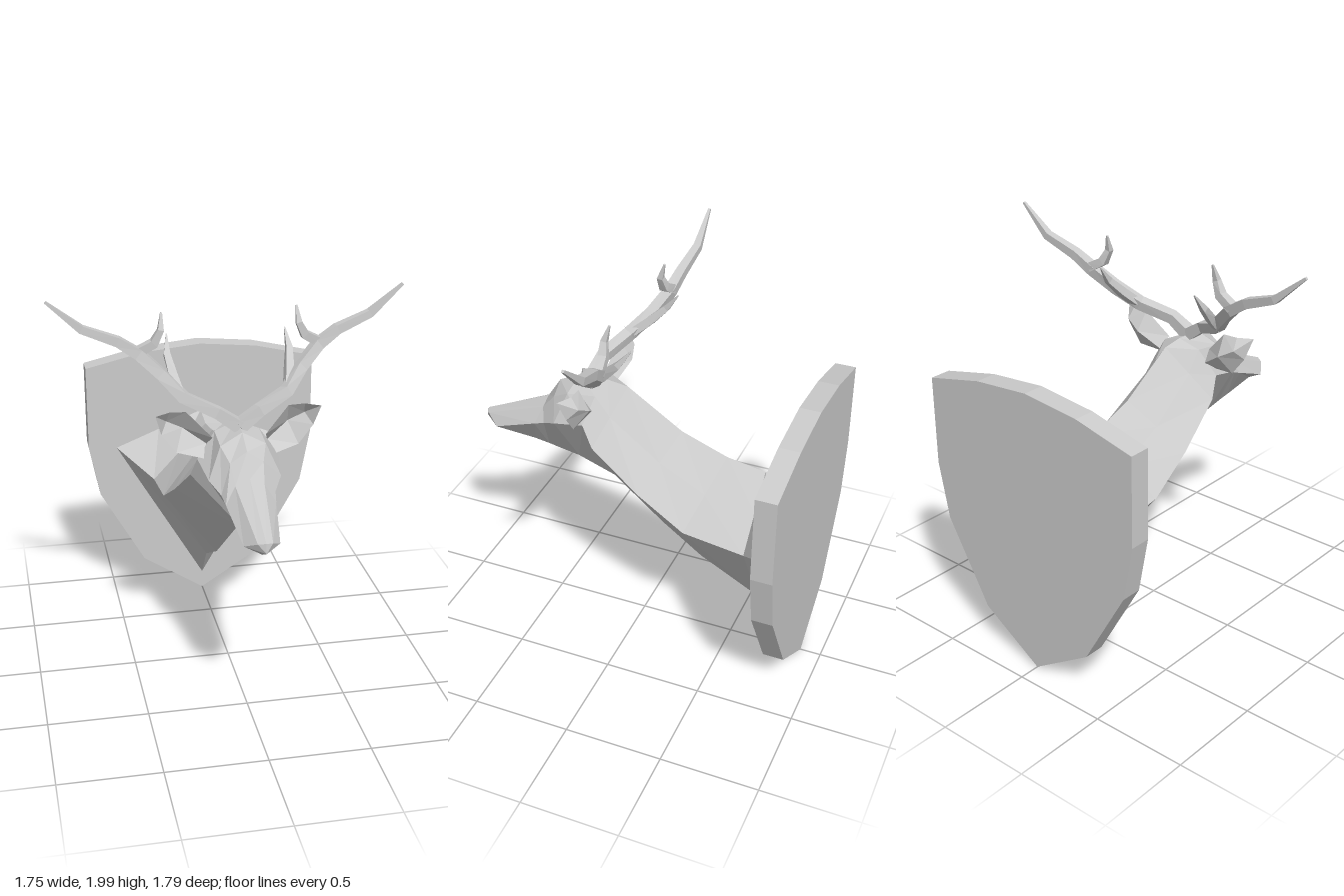
import * as THREE from 'three';

const V = (x, y, z) => new THREE.Vector3(x, y, z);
const grey = (side = THREE.FrontSide) =>
  new THREE.MeshStandardMaterial({ color: 0xcccccc, flatShading: true, side });

function named(name, geometry, side) {
  const mesh = new THREE.Mesh(geometry, grey(side));
  mesh.name = name;
  return mesh;
}

// Skin over rings of points (counterclockwise around the direction of travel)
function loft(rings, { closed = true, start, end } = {}) {
  const pos = [];
  const tri = (...pts) => pts.forEach((p) => pos.push(p.x, p.y, p.z));
  const n = rings[0].length;
  const count = closed ? n : n - 1;
  for (let j = 0; j < count; j++) {
    const k = (j + 1) % n;
    for (let i = 0; i < rings.length - 1; i++) {
      const [r, s] = [rings[i], rings[i + 1]];
      tri(r[j], r[k], s[k]);
      tri(r[j], s[k], s[j]);
    }
    const last = rings[rings.length - 1];
    if (start) tri(rings[0][k], rings[0][j], start);
    if (end) tri(last[j], last[k], end);
  }
  const geometry = new THREE.BufferGeometry();
  geometry.setAttribute('position', new THREE.Float32BufferAttribute(pos, 3));
  geometry.computeVertexNormals();
  return geometry;
}

// Four-sided tapering branch; each point is [x, y, z, radius]
function branch(points) {
  const path = points.map((p) => V(p[0], p[1], p[2]));
  const last = path.length - 1;
  const rings = path.map((p, i) => {
    const t = path[Math.min(i + 1, last)].clone().sub(path[Math.max(i - 1, 0)]).normalize();
    const a = V(0, 0, 1).cross(t).normalize();
    const b = t.clone().cross(a);
    return [0, 1, 2, 3].map((k) => {
      const angle = (k * Math.PI) / 2 + Math.PI / 4;
      return p.clone()
        .addScaledVector(a, Math.cos(angle) * points[i][3])
        .addScaledVector(b, Math.sin(angle) * points[i][3]);
    });
  });
  return loft(rings, { start: path[0], end: path[last] });
}

function makePlaque() {
  const half = [[0.335, 0.215], [0.575, 0.64], [0.63, 0.93], [0.63, 1.385], [0.31, 1.46]];
  const outline = [[0, 0], ...half, [0, 1.49], ...half.map(([x, y]) => [-x, y]).reverse()];
  const shape = new THREE.Shape(outline.map(([x, y]) => new THREE.Vector2(x, y)));
  const geometry = new THREE.ExtrudeGeometry(shape, { depth: 0.107, bevelEnabled: false });
  return named('plaque', geometry.translate(0, 0, -0.892));
}

// Neck and head: each row holds top [y, z], side [x, y, z], bottom [y, z]
// and, on the skull, a shoulder point [x, y, z] between top and side
function makeNeckAndHead() {
  const rows = [
    [[1.105, -0.785], [0.475, 0.915, -0.785], [0.1, -0.785]],
    [[1.08, -0.64], [0.29, 0.77, -0.64], [0.285, -0.64]],
    [[1.115, -0.44], [0.285, 0.81, -0.32], [0.455, -0.32]],
    [[1.205, -0.2], [0.262, 0.955, -0.07], [0.615, -0.1]],
    [[1.395, 0.09], [0.225, 1.14, 0.19], [0.84, 0.17]],
    [[1.41, 0.2], [0.2, 1.245, 0.25], [0.91, 0.37], [0.11, 1.37, 0.22]],
    [[1.405, 0.35], [0.175, 1.2, 0.42], [0.925, 0.46], [0.11, 1.35, 0.37]],
    [[1.35, 0.46], [0.13, 1.155, 0.5], [0.94, 0.54], [0.08, 1.295, 0.46]],
    [[1.24, 0.53], [0.12, 1.13, 0.56], [0.952, 0.62], [0.07, 1.21, 0.53]],
    [[1.077, 0.888], [0.085, 1.03, 0.8], [0.985, 0.81], [0.035, 1.068, 0.87]],
  ];
  const rings = rows.map(([top, side, bottom, shoulder]) => {
    const t = V(0, ...top);
    const s = V(...side);
    const u = shoulder ? V(...shoulder) : t.clone().lerp(s, 0.5);
    const flip = (p) => V(-p.x, p.y, p.z);
    return [V(0, ...bottom), s, u, t, flip(u), flip(s)];
  });
  return named('neckAndHead', loft(rings, { start: V(0, 0.9, -0.785), end: V(0, 1.03, 0.896) }));
}

// Ear: open cup running from the skull to a forward tip
function makeEar() {
  const rings = [
    [V(0.13, 1.36, 0.28), V(0.15, 1.31, 0.22), V(0.17, 1.26, 0.29)],
    [V(0.25, 1.485, 0.24), V(0.26, 1.385, 0.18), V(0.3, 1.285, 0.25)],
    [V(0.33, 1.488, 0.24), V(0.34, 1.43, 0.2), V(0.372, 1.38, 0.25)],
  ];
  return named('ear', loft(rings, { closed: false, end: V(0.402, 1.487, 0.282) }), THREE.DoubleSide);
}

function makeAntler() {
  const antler = new THREE.Group();
  antler.name = 'antler';
  const beam = [
    [0, 1.41, 0.28, 0.045], [0.1, 1.48, 0.265, 0.038], [0.25, 1.54, 0.19, 0.038],
    [0.34, 1.63, 0.105, 0.038], [0.44, 1.72, 0.045, 0.038], [0.54, 1.785, 0.025, 0.033],
    [0.71, 1.85, 0.005, 0.027], [0.872, 1.99, 0.005, 0.009],
  ];
  const innerTine = [
    [0.265, 1.55, 0.17, 0.03], [0.285, 1.62, 0.09, 0.029],
    [0.302, 1.7, 0.01, 0.022], [0.294, 1.785, -0.055, 0.004],
  ];
  const outerTine = [
    [0.45, 1.73, 0.04, 0.032], [0.37, 1.775, 0.05, 0.03],
    [0.338, 1.84, 0.058, 0.021], [0.33, 1.92, 0.035, 0.006],
  ];
  antler.add(
    named('antlerBeam', branch(beam)),
    named('innerTine', branch(innerTine)),
    named('outerTine', branch(outerTine)),
  );
  return antler;
}

export function createModel() {
  const model = new THREE.Group();
  model.name = 'mountedStagHead';
  model.add(makePlaque(), makeNeckAndHead());
  // Mirrored pairs
  for (const [side, sign] of [['left', 1], ['right', -1]]) {
    const pair = new THREE.Group();
    pair.name = `${side}EarAndAntler`;
    pair.add(makeEar(), makeAntler());
    pair.scale.x = sign;
    model.add(pair);
  }
  return model;
}
